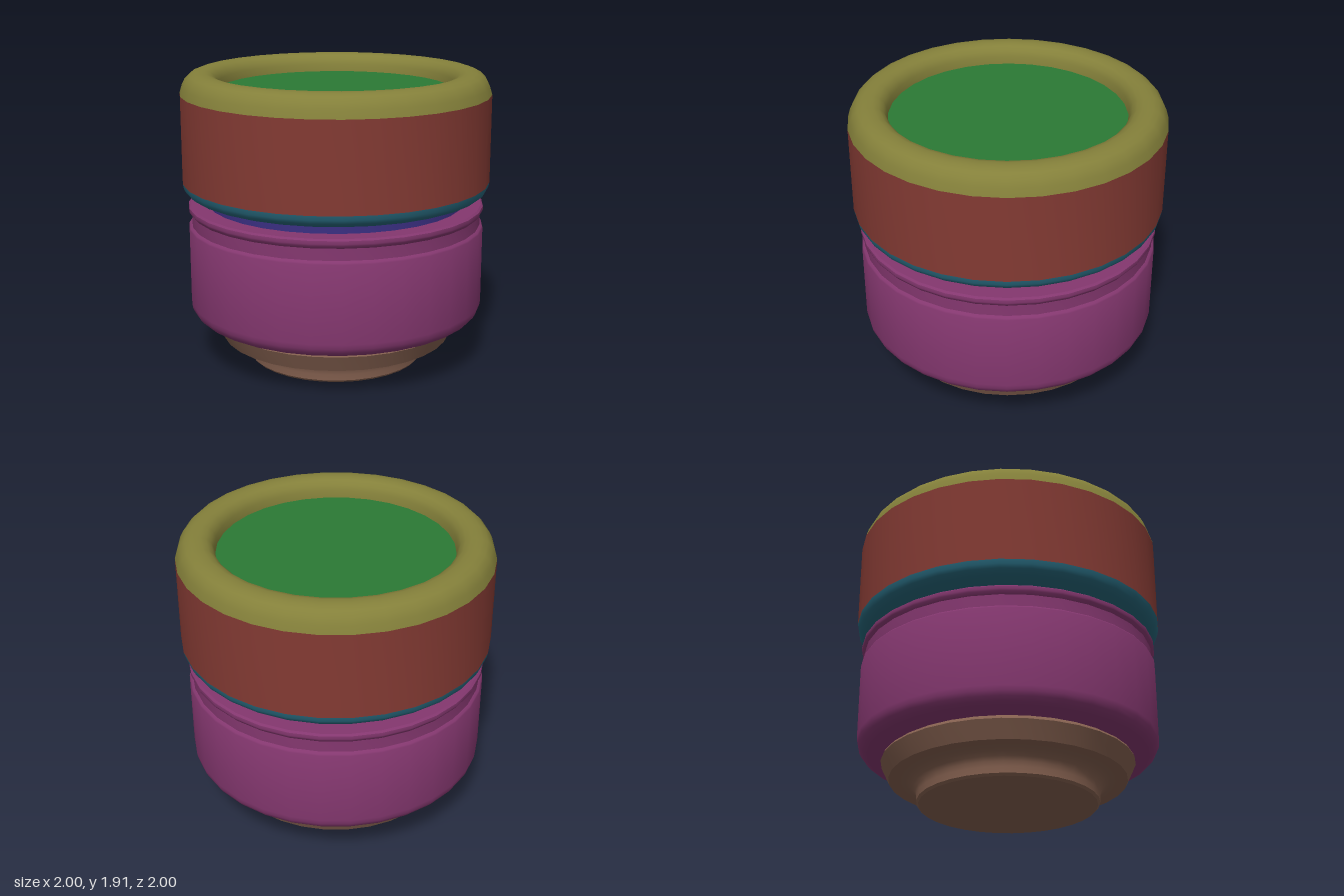
import * as THREE from 'three';
import { toCreasedNormals } from 'three/addons/utils/BufferGeometryUtils.js';

const SIDES = 32;

// Quarter-ellipse profile points, from angle a0 to a1 in degrees
function arc(cx, cy, rx, ry, a0, a1, steps = 5) {
  return Array.from({ length: steps + 1 }, (_, i) => {
    const a = THREE.MathUtils.degToRad(a0 + ((a1 - a0) * i) / steps);
    return [cx + rx * Math.cos(a), cy + ry * Math.sin(a)];
  });
}

// Turned part from a [radius, height] profile running up the outside
function turned(name, color, profile) {
  const points = profile.map(([r, y]) => new THREE.Vector2(r, y));
  const geometry = toCreasedNormals(new THREE.LatheGeometry(points, SIDES), 0.6);
  const mesh = new THREE.Mesh(geometry, new THREE.MeshStandardMaterial({ color }));
  mesh.name = name;
  return mesh;
}

export function createModel() {
  const model = new THREE.Group();
  model.name = 'turnedKnob';

  model.add(
    // Foot with a concave neck below a bevelled flange
    turned('foot', 0x84604f, [
      [0, 0], [0.565, 0], [0.578, 0.015],
      ...arc(0.685, 0.055, 0.105, 0.1, 180, 90),
      [0.757, 0.155], [0.81, 0.265], [0.803, 0.28], [0.78, 0.295], [0, 0.3],
    ]),
    // Lower body with a rounded base and a groove below its lip
    turned('lowerBody', 0x84376f, [
      [0, 0.305],
      ...arc(0.865, 0.405, 0.1, 0.1, -90, 0),
      [0.965, 0.905], [0.96, 0.915], [0.945, 0.925], [0.945, 1.0],
      [0.96, 1.018], [0.965, 1.03], [0.963, 1.05], [0.95, 1.06], [0.8, 1.06],
    ]),
    // Recessed neck between the two bodies
    turned('neck', 0x3a2f82, [[0.84, 1.05], [0.84, 1.12]]),
    // Rounded underside of the upper body
    turned('lowerCollar', 0x26667a, [
      [0.8, 1.105], [0.84, 1.11], [0.93, 1.127], [0.958, 1.138],
      [0.982, 1.158], [0.995, 1.182], [1, 1.21],
    ]),
    turned('upperBand', 0x833a33, [[1, 1.21], [1, 1.775]]),
    // Rounded rim turning down to the recessed top
    turned('rim', 0x84803a, [
      [1, 1.775], [0.985, 1.825], [0.965, 1.865], [0.935, 1.894],
      [0.9, 1.907], [0.87, 1.91], [0.835, 1.91], [0.8, 1.9],
      [0.772, 1.875], [0.756, 1.84], [0.75, 1.79],
    ]),
    turned('topInsert', 0x2b7a35, [[0.75, 1.793], [0, 1.793]]),
  );

  model.rotation.y = THREE.MathUtils.degToRad(-3.1);
  return model;
}
